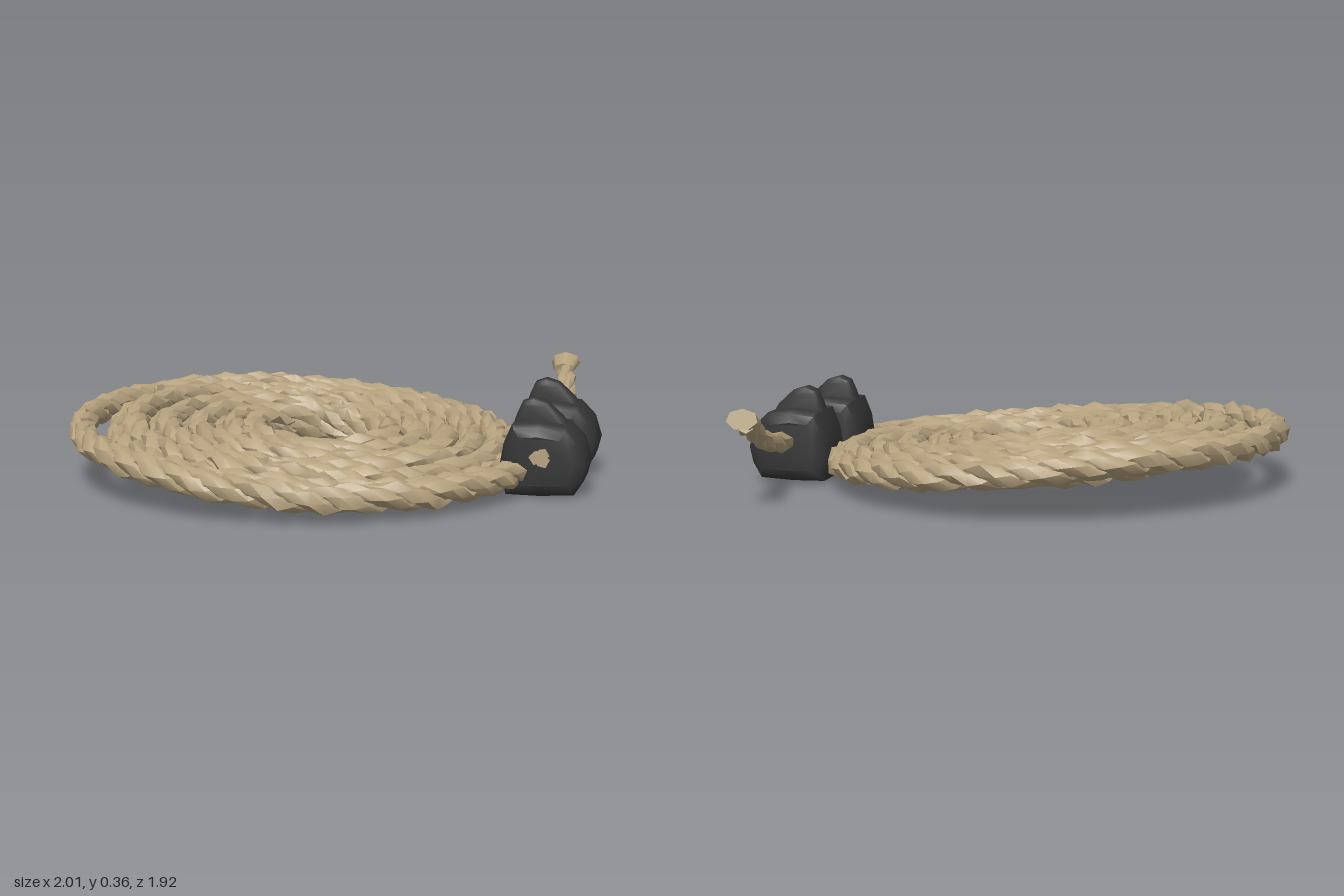
import * as THREE from 'three';
import { mergeGeometries, toCreasedNormals } from 'three/addons/utils/BufferGeometryUtils.js';

const mat = (name, color, side = THREE.FrontSide) => {
  const m = new THREE.MeshStandardMaterial({ color, side });
  m.name = name;
  return m;
};

// Small seeded noise for the worn, uneven fibres
let seed = 7;
const rand = () => ((seed = (seed * 16807) % 2147483647) / 2147483647) * 2 - 1;

// Three twisted strands of radius R * 0.66 swept along a curve
function ropeGeometry(curve, R, twist = 0.4, step = 0.05, sides = 5) {
  const length = curve.getLength();
  const n = Math.ceil(length / step);
  const up = new THREE.Vector3(0, 1, 0);
  const strands = [];
  for (let s = 0; s < 3; s++) {
    const pos = [], index = [];
    for (let i = 0; i <= n; i++) {
      const u = i / n;
      const p = curve.getPointAt(u), t = curve.getTangentAt(u);
      const side = new THREE.Vector3().crossVectors(up, t).normalize();
      const top = new THREE.Vector3().crossVectors(t, side);
      const a = (u * length / twist + s / 3) * Math.PI * 2;
      for (let j = 0; j < sides; j++) {
        const b = (j / sides) * Math.PI * 2 + a;
        const r = R * (0.66 + 0.14 * rand());
        const v = p.clone()
          .addScaledVector(side, Math.cos(a) * R * 0.38 + Math.cos(b) * r)
          .addScaledVector(top, Math.sin(a) * R * 0.38 + Math.sin(b) * r);
        pos.push(v.x, v.y, v.z);
        if (i < n) {
          const k = i * sides, j2 = (j + 1) % sides;
          index.push(k + j, k + j2, k + sides + j, k + j2, k + sides + j2, k + sides + j);
        }
      }
    }
    // End caps
    for (let j = 1; j < sides - 1; j++) {
      index.push(0, j + 1, j, n * sides, n * sides + j, n * sides + j + 1);
    }
    const g = new THREE.BufferGeometry();
    g.setAttribute('position', new THREE.Float32BufferAttribute(pos, 3));
    g.setIndex(index);
    strands.push(toCreasedNormals(g, 0.8));
  }
  return mergeGeometries(strands);
}

// The whole coil leans: high at the left and the back
const lean = (x, z) => 0.14 - 0.075 * x - 0.035 * z;

// Inward spiral from radius r0 at angle a0, ending in a full turn around the hole
const PITCH = 0.115, HOLE = 0.27;
function spiral(r0, a0, lift, lead = []) {
  const turns = (r0 - HOLE) / PITCH + 1, n = Math.ceil(turns * 28);
  const pts = [...lead];
  for (let i = 0; i <= n; i++) {
    const t = (i / n) * turns, a = a0 + t * Math.PI * 2;
    const r = Math.max(HOLE, r0 - t * PITCH) + 0.006 * Math.sin(a * 2.7);
    const k = (r - HOLE) / 0.62;
    const x = -0.05 - 0.065 * k + r * Math.cos(a);
    const z = -0.015 - 0.015 * k + r * (1 + 0.085 * k) * Math.sin(a);
    const rise = lift * Math.min(1, (1 - k) * 3);
    pts.push(new THREE.Vector3(x, lean(x, z) + rise + 0.006 * Math.sin(a * 3.4), z));
  }
  return new THREE.CatmullRomCurve3(pts);
}

// Profile in x and y, extruded along z with rounded edges
function slab(name, pts, depth, bevel, material) {
  const shape = new THREE.Shape(pts.map(([x, y]) => new THREE.Vector2(x, y)));
  const g = new THREE.ExtrudeGeometry(shape, {
    depth: depth - 2 * bevel, bevelThickness: bevel, bevelSize: bevel,
    bevelOffset: -bevel, bevelSegments: 2,
  });
  g.translate(0, 0, bevel - depth / 2);
  // Draw in the depth towards both sides
  const p = g.attributes.position;
  for (let i = 0; i < p.count; i++) {
    const d = Math.abs(p.getX(i) - 0.82) / 0.18;
    p.setZ(i, p.getZ(i) * (1 - 0.22 * d * d));
  }
  const mesh = new THREE.Mesh(toCreasedNormals(g, 0.9), material);
  mesh.name = name;
  return mesh;
}

// Clamp block with a raised fin
function clamp(name, y, z, material) {
  const group = new THREE.Group();
  group.name = name;
  group.position.set(0, y, z);
  group.add(
    slab('clampBody', [[0.7, 0], [0.82, 0], [0.95, 0.005], [0.985, 0.06], [1, 0.12], [0.975, 0.2],
      [0.92, 0.255], [0.82, 0.27], [0.72, 0.26], [0.69, 0.19], [0.675, 0.1]], 0.28, 0.045, material),
    slab('clampFin', [[0.7, 0.2], [0.73, 0.29], [0.75, 0.335], [0.79, 0.35], [0.84, 0.335],
      [0.9, 0.28], [0.95, 0.2]], 0.075, 0.018, material));
  return group;
}

export function createModel() {
  const model = new THREE.Group();
  const tan = mat('ropeTan', 0xb5a17e);
  const black = mat('clampBlack', 0x363636);
  const grey = mat('plateGrey', 0xf2f2f2, THREE.DoubleSide);
  const add = (name, geometry, material) => {
    const mesh = new THREE.Mesh(geometry, material);
    mesh.name = name;
    model.add(mesh);
    return mesh;
  };
  const V = (x, y, z) => new THREE.Vector3(x, y, z);

  // Lower coil, its outer end entering the front clamp
  add('lowerCoil', ropeGeometry(
    spiral(0.89, 0.42, -0.035, [V(0.75, 0.1, 0.14), V(0.74, 0.09, 0.24)]), 0.054), tan);
  // Upper coil, lying in the grooves of the lower one
  add('upperCoil', ropeGeometry(spiral(0.775, 0.42 + Math.PI, 0.005), 0.056), tan);

  // Free end through both clamps, rising to a knotted tip
  const tail = new THREE.CatmullRomCurve3([V(0.83, 0.15, 0.306), V(0.83, 0.15, 0.1),
    V(0.82, 0.15, -0.1), V(0.84, 0.16, -0.37), V(0.835, 0.2, -0.6),
    V(0.81, 0.27, -0.78), V(0.79, 0.31, -0.91)]);
  add('tailRope', ropeGeometry(tail, 0.038), tan);
  const tip = add('tailTip', new THREE.CylinderGeometry(0.06, 0.042, 0.09, 7), tan);
  tip.position.set(0.793, 0.315, -0.885);
  tip.rotation.x = -1.3;
  tip.scale.z = 0.65;

  // Two clamps
  model.add(clamp('frontClamp', 0, 0.165, black), clamp('rearClamp', 0.01, -0.24, black));

  // Broken plate in the middle of the coil
  const outline = [[-0.28, -0.1], [0, -0.09], [0.0, -0.22], [0.14, -0.2], [0.2, -0.1], [0.2, 0.1],
    [0.12, 0.22], [-0.2, 0.22], [-0.28, 0.1]];
  const plateGeometry = new THREE.ShapeGeometry(
    new THREE.Shape(outline.map(([x, z]) => new THREE.Vector2(x, -z))));
  plateGeometry.rotateX(-Math.PI / 2);
  const p = plateGeometry.attributes.position;
  for (let i = 0; i < p.count; i++) p.setY(i, lean(p.getX(i), p.getZ(i)) - 0.04);
  plateGeometry.computeVertexNormals();
  add('centrePlate', plateGeometry, grey);

  return model;
}
